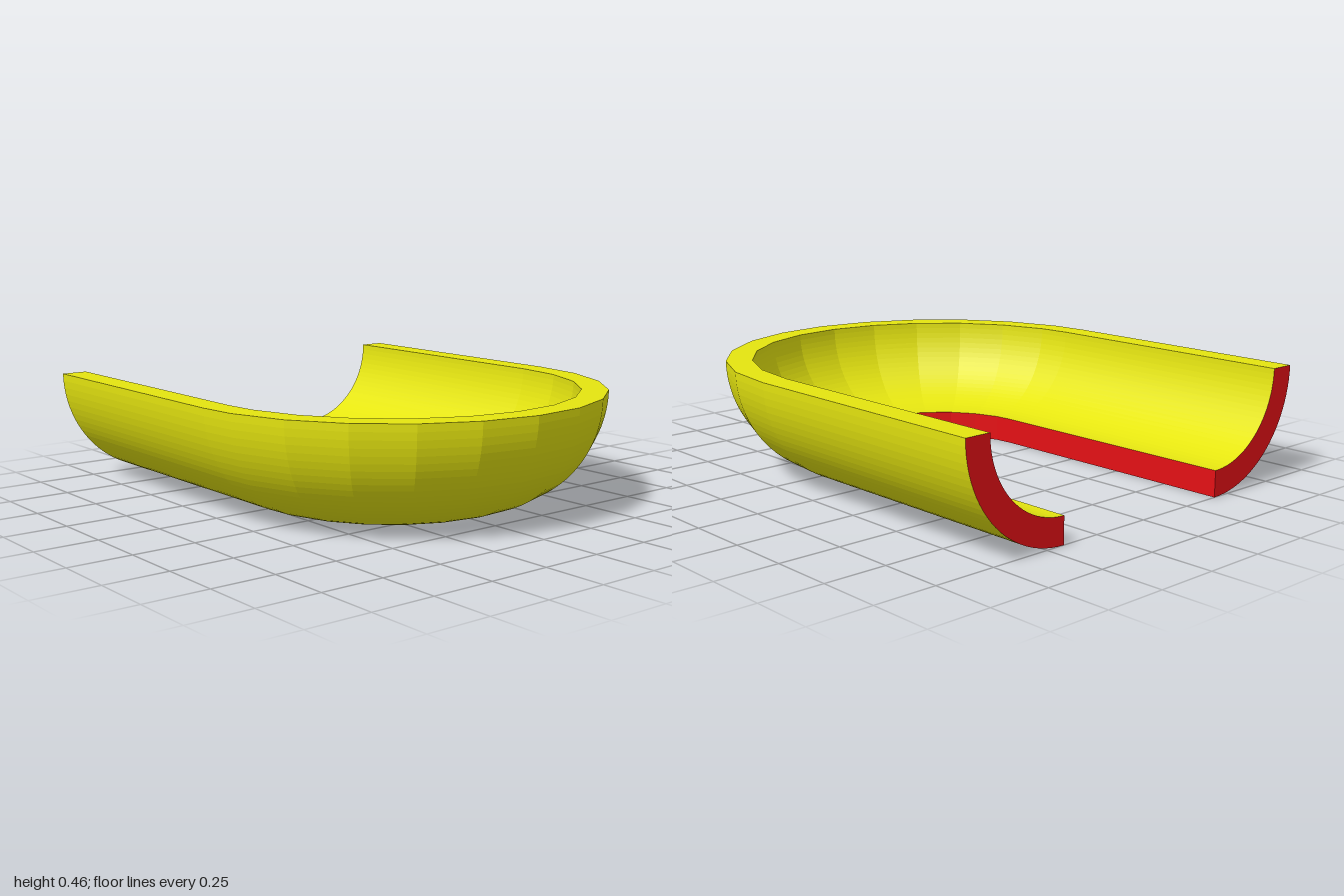
import * as THREE from 'three';

const INNER = 0.418;     // path radius of the lower inner edge
const R_OUT = 0.457;     // outer radius of the quarter-ring section
const R_IN = 0.35;       // inner radius of the section
const BEND_Z = 0.126;    // centre of the bend
const STEPS = 24;        // facets across the quarter section

const yellow = new THREE.MeshStandardMaterial({ color: 0xe5e510, flatShading: true });
const red = new THREE.MeshStandardMaterial({ color: 0xe51015, flatShading: true });

// U-shaped path: straight arm, faceted half-turn, straight arm
const angles = [-90];
for (let k = -5; k <= 5; k++) angles.push(-2.6 + 15.4 * k);
angles.push(90);
const stations = [
  { a: -90, z: -1 },
  ...angles.map((a) => ({ a, z: BEND_Z })),
  { a: 90, z: -1 },
];

// Point of the section (distance r from the path centre, height y) at a station
function place({ a, z }, [r, y]) {
  const t = THREE.MathUtils.degToRad(a);
  return [r * Math.sin(t), y, z + r * Math.cos(t)];
}

// Quarter arc of the section, from the bottom to the rim
function arc(radius) {
  return Array.from({ length: STEPS + 1 }, (_, i) => {
    const t = (i / STEPS) * Math.PI / 2;
    return [INNER + radius * Math.sin(t), R_OUT - radius * Math.cos(t)];
  });
}

// Surface through successive rows of points
function loft(name, rows, material) {
  const cols = rows[0].length;
  const index = [];
  for (let i = 0; i < rows.length - 1; i++) {
    for (let j = 0; j < cols - 1; j++) {
      const a = i * cols + j, b = a + cols;
      index.push(a, b, b + 1, a, b + 1, a + 1);
    }
  }
  const geometry = new THREE.BufferGeometry();
  geometry.setAttribute('position', new THREE.Float32BufferAttribute(rows.flat(2), 3));
  geometry.setIndex(index);
  geometry.computeVertexNormals();
  const mesh = new THREE.Mesh(geometry, material);
  mesh.name = name;
  return mesh;
}

export function createModel() {
  const group = new THREE.Group();
  group.name = 'halfGutterBend';
  const outer = arc(R_OUT), inner = arc(R_IN);
  const sweep = (name, profile, material) =>
    group.add(loft(name, stations.map((s) => profile.map((p) => place(s, p))), material));

  // Curved shells and flat rim
  sweep('outerShell', outer, yellow);
  sweep('topRim', [outer[STEPS], inner[STEPS]], yellow);
  sweep('innerShell', [...inner].reverse(), yellow);

  // Cut surfaces: the inner wall and the two arm ends
  sweep('innerCutWall', [inner[0], outer[0]], red);
  const first = stations[0], last = stations[stations.length - 1];
  const cap = (s, a, b) => a.map((p, i) => [place(s, p), place(s, b[i])]);
  group.add(loft('rightArmEnd', cap(first, outer, inner), red));
  group.add(loft('leftArmEnd', cap(last, inner, outer), red));
  return group;
}
